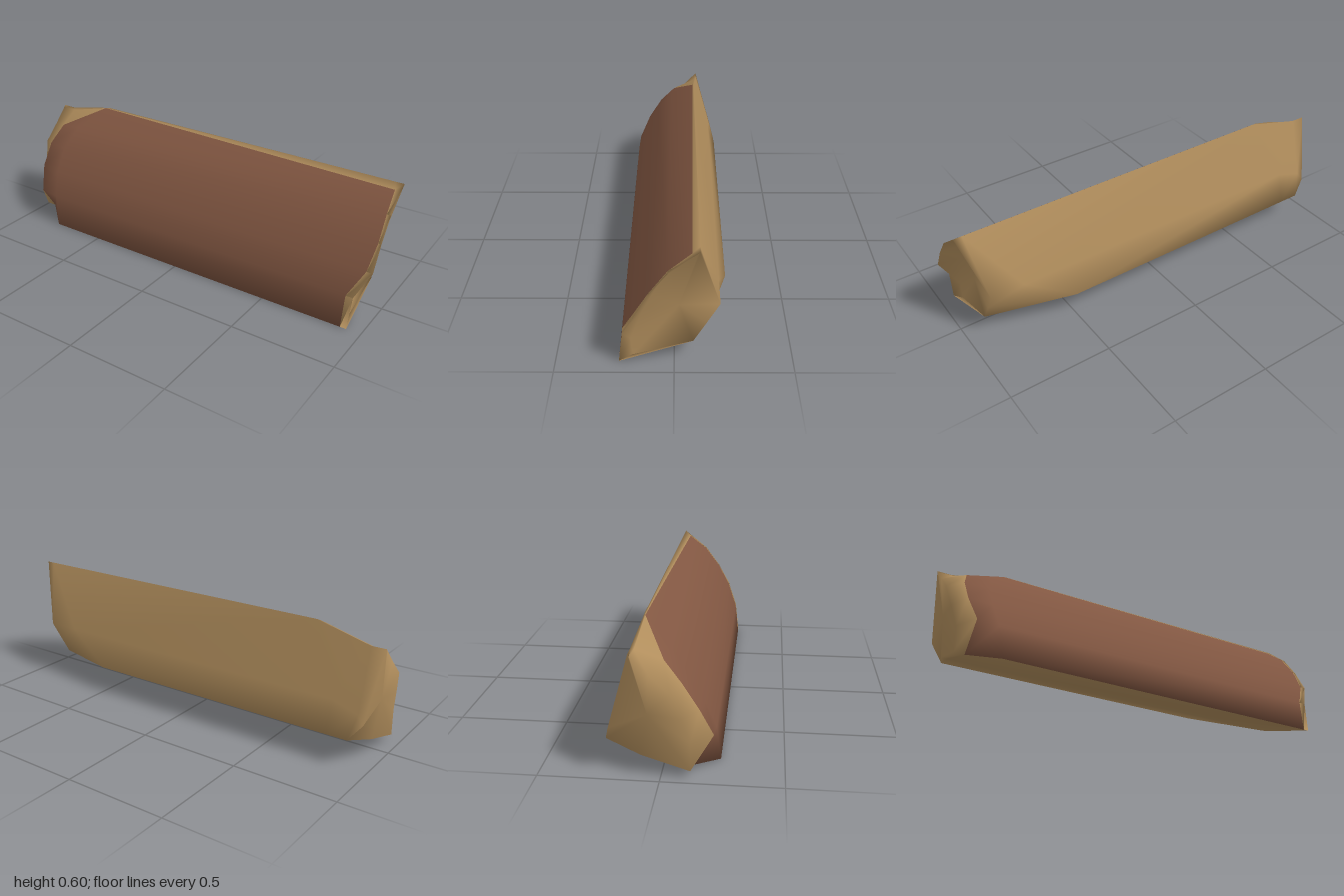
import * as THREE from 'three';
import { mergeVertices } from 'three/addons/utils/BufferGeometryUtils.js';

// Wedge profile as [z, y]: outer arc (0-6), back face (7), inner edge (8), underside (9)
const WEDGE = [
  [0.233, 0.003], [0.215, 0.16], [0.167, 0.28], [0.103, 0.395], [0.025, 0.5],
  [-0.08, 0.584], [-0.1, 0.6], [-0.189, 0.285], [-0.232, 0.135], [-0.08, 0.092],
];
// Smaller profile of the bare wood at the left end, with its inner edge bevelled
const CORE = [
  [0.175, 0.018], [0.183, 0.105], [0.13, 0.25], [0.09, 0.33], [0.035, 0.44],
  [-0.1, 0.546], [-0.11, 0.555], [-0.189, 0.285], [-0.135, 0.189], [-0.08, 0.092],
];
// Chipped profiles of the right end
const CHIPPED = [
  [0.12, 0.035], [0.21, 0.17], [0.155, 0.29], [0.085, 0.4], [0.01, 0.485],
  [-0.105, 0.532], [-0.117, 0.54], [-0.199, 0.25], [-0.232, 0.135], [-0.08, 0.092],
];
const TIP = [
  [0.12, 0.035], [0.12, 0.16], [0.085, 0.27], [0.045, 0.38], [-0.04, 0.46],
  [-0.11, 0.532], [-0.117, 0.54], [-0.21, 0.21], [-0.232, 0.135], [-0.08, 0.092],
];

// A ring places every profile point at its own x
const ring = (profile, xs) =>
  profile.map(([z, y], i) => [xs[i], y, z]);

// The tops of the lips share their lower points with the wood end
const lipProfile = [...WEDGE.slice(0, 7), ...CORE.slice(7)];
const barkEdge = WEDGE.map((p, i) => (i === 5 ? [-0.07, 0.576] : p));
const barkFar = WEDGE.map((p, i) => (i === 5 ? [-0.095, 0.596] : p));

export function createModel() {
  const bark = new THREE.MeshStandardMaterial({ color: 0x825742 });
  bark.name = 'bark brown';
  const wood = new THREE.MeshStandardMaterial({ color: 0xb08d5c });
  wood.name = 'split wood tan';

  const rings = [
    ring(CORE, Array(10).fill(0.905)),
    ring(lipProfile, [0.93, 0.94, 1, 1, 1, 1, 1, 0.905, 0.905, 0.905]),
    ring(barkEdge, [0.9, 0.905, 0.97, 0.985, 0.98, 0.97, 0.96, 0.74, 0.5, 0.5]),
    ring(barkFar, [-0.78, -0.8, -0.82, -0.82, -0.78, -0.68, -0.66, -0.8, -0.8, -0.8]),
    ring(CHIPPED, [-0.91, -0.9, -0.93, -0.93, -0.9, -0.92, -0.93, -0.93, -0.9, -0.92]),
    ring(TIP, [-0.96, -0.96, -0.98, -1, -1, -1, -1, -0.96, -0.9, -0.95]),
  ];
  const n = WEDGE.length;
  const barkFaces = [];
  const woodFaces = [];

  // Skin between neighbouring rings; the bark covers the outer arc only
  for (let i = 0; i < rings.length - 1; i++) {
    for (let j = 0; j < n; j++) {
      const k = (j + 1) % n;
      const a = i * n + j, b = i * n + k, c = a + n, d = b + n;
      const first = (i === 2 || i === 3) && j <= 4;
      const second = first && !(i === 3 && j === 4);
      (first ? barkFaces : woodFaces).push(a, b, c);
      (second ? barkFaces : woodFaces).push(b, d, c);
    }
  }

  // End caps
  const points = rings.flat();
  const leftCentre = points.push([0.905, 0.28, -0.02]) - 1;
  const rightCentre = points.push([-0.97, 0.28, -0.05]) - 1;
  const last = (rings.length - 1) * n;
  for (let j = 0; j < n; j++) {
    const k = (j + 1) % n;
    woodFaces.push(leftCentre, k, j);
    woodFaces.push(rightCentre, last + j, last + k);
  }

  let geometry = new THREE.BufferGeometry();
  geometry.setAttribute('position', new THREE.Float32BufferAttribute(points.flat(), 3));
  geometry.setIndex([...barkFaces, ...woodFaces]);
  geometry = mergeVertices(geometry);
  geometry.computeVertexNormals();
  geometry.clearGroups();
  geometry.addGroup(0, barkFaces.length, 0);
  geometry.addGroup(barkFaces.length, woodFaces.length, 1);

  const log = new THREE.Mesh(geometry, [bark, wood]);
  log.name = 'splitLog';
  const model = new THREE.Group();
  model.name = 'firewood';
  model.add(log);
  return model;
}
